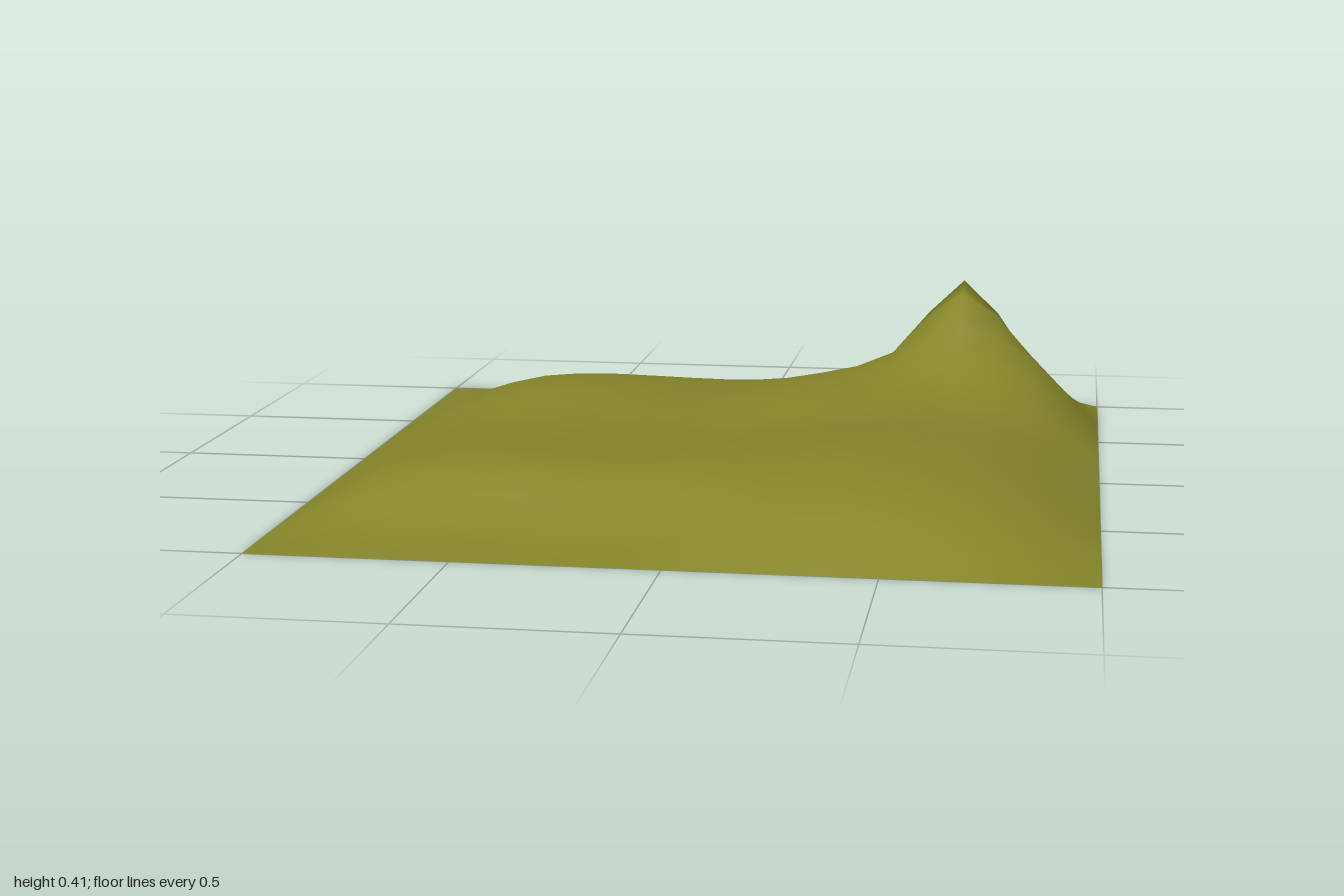
import * as THREE from 'three';

// Heights in hundredths on a coarse 0.2 grid: rows run back to front, columns along +x.
// The outer border is always zero.
const HEIGHTS = [
  [5, 8, 9, 9, 9, 11, 18, 41, 17],
  [8, 13, 14, 13, 13, 16, 21, 30, 22],
  [10, 16, 17, 15, 15, 18, 19, 19, 14],
  [11, 16, 17, 15, 15, 17, 16, 14, 10],
  [10, 13, 14, 13, 13, 14, 14, 14, 10],
  [10, 13, 13, 13, 13, 15, 16, 15, 10],
  [10, 14, 14, 13, 14, 15, 16, 15, 10],
  [10, 13, 14, 13, 13, 13, 14, 13, 9],
  [3, 4, 4, 4, 5, 8, 9, 8, 5],
];
const CELLS = 10;

// Coarse height, reflected with opposite sign past the zero border
function coarse(i, j) {
  if (i < 0) return -coarse(-i, j);
  if (j < 0) return -coarse(i, -j);
  if (i > CELLS) return -coarse(2 * CELLS - i, j);
  if (j > CELLS) return -coarse(i, 2 * CELLS - j);
  return (HEIGHTS[j - 1]?.[i - 1] ?? 0) / 100;
}

// Catmull-Rom interpolation of four samples around t in [0, 1]
function cubic(sample, t) {
  const [a, b, c, d] = [-1, 0, 1, 2].map(sample);
  return b + 0.5 * t * (c - a + t * (2 * a - 5 * b + 4 * c - d + t * (3 * (b - c) + d - a)));
}

function heightAt(x, z) {
  const u = (x + 1) * CELLS / 2, v = (z + 1) * CELLS / 2;
  const i = Math.floor(u + 1e-6), j = Math.floor(v + 1e-6);
  return Math.max(0, cubic(n => cubic(m => coarse(i + m, j + n), u - i), v - j));
}

export function createModel() {
  const group = new THREE.Group();
  group.name = 'landscape';

  // Square sheet of rolling ground with one steep hill at a back corner
  const geometry = new THREE.PlaneGeometry(2, 2, 20, 20).rotateX(-Math.PI / 2);
  const pos = geometry.attributes.position;
  for (let k = 0; k < pos.count; k++) pos.setY(k, heightAt(pos.getX(k), pos.getZ(k)));
  geometry.computeVertexNormals();

  const terrain = new THREE.Mesh(geometry,
    new THREE.MeshStandardMaterial({ color: 0x85852a, side: THREE.DoubleSide }));
  terrain.name = 'terrain';
  group.add(terrain);
  return group;
}
